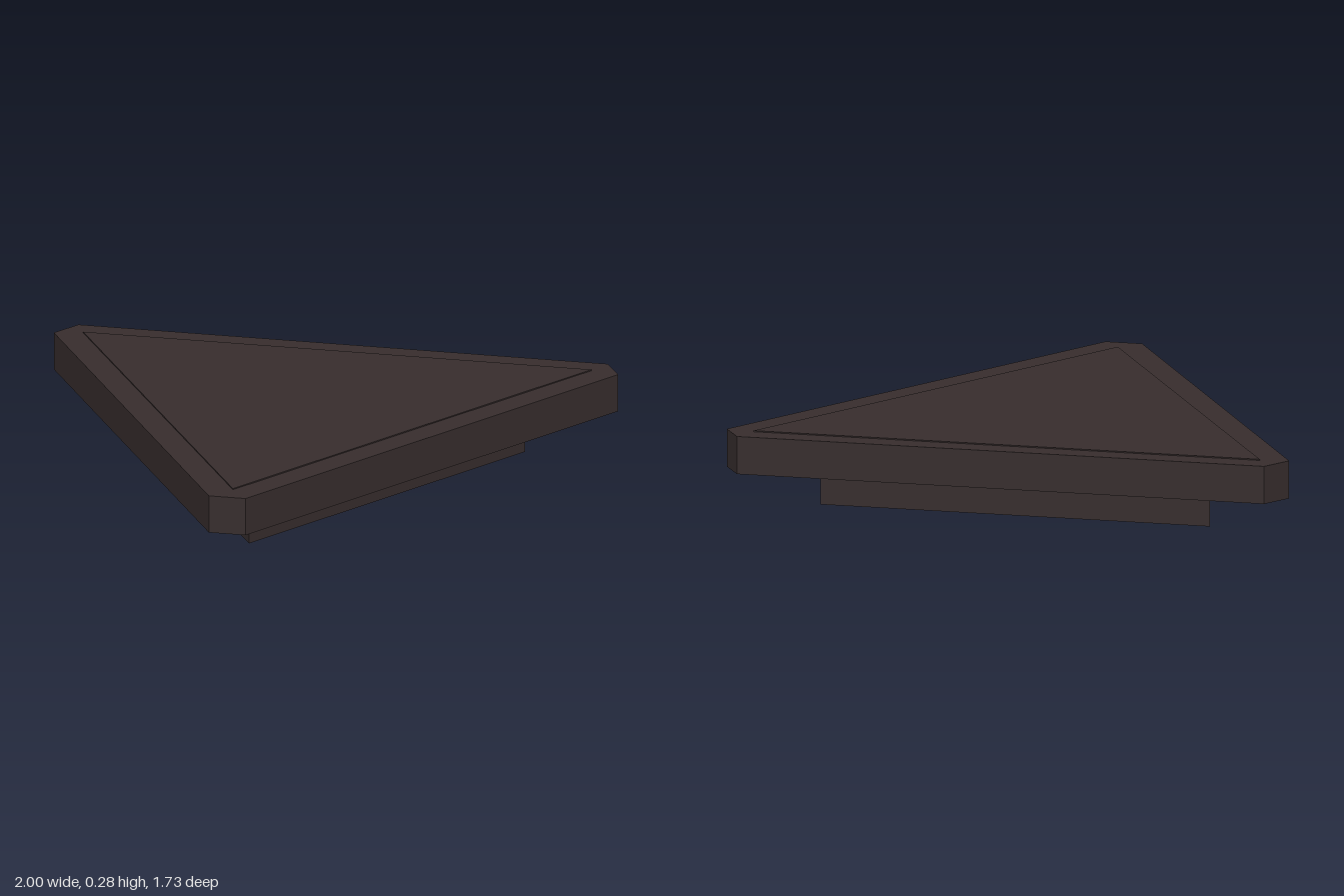
import * as THREE from 'three';

const CENTRE_Z = -0.26;

// Equilateral triangle pointing to the front, given its circumradius
function trianglePoints(radius) {
  return [0, 1, 2].map((i) => {
    const a = (i * Math.PI * 2) / 3;
    return new THREE.Vector2(Math.sin(a) * radius, -(CENTRE_Z + Math.cos(a) * radius));
  });
}

// Upright prism from a plan outline (shape y is -z)
function prism(name, shape, bottom, top, material) {
  const geometry = new THREE.ExtrudeGeometry(shape, { depth: top - bottom, bevelEnabled: false });
  geometry.rotateX(-Math.PI / 2);
  geometry.translate(0, bottom, 0);
  const mesh = new THREE.Mesh(geometry, material);
  mesh.name = name;
  return mesh;
}

export function createModel() {
  const group = new THREE.Group();
  group.name = 'triangularPlate';
  const darkBrown = new THREE.MeshStandardMaterial({ color: 0x372d2d });
  darkBrown.name = 'darkBrown';

  // Slab with three clipped corners
  const slab = new THREE.Shape([
    [-0.065, 0.865], [0.065, 0.865], [1, -0.76],
    [0.937, -0.865], [-0.937, -0.865], [-1, -0.76],
  ].map(([x, z]) => new THREE.Vector2(x, -z)));
  group.add(prism('slab', slab, 0.139, 0.272, darkBrown));

  // Barely raised panel on top
  group.add(prism('topPanel', new THREE.Shape(trianglePoints(1.04)), 0.272, 0.276, darkBrown));

  // Hollow triangular foot underneath
  const foot = new THREE.Shape(trianglePoints(0.8));
  foot.holes.push(new THREE.Path(trianglePoints(0.625)));
  group.add(prism('footRing', foot, 0, 0.139, darkBrown));

  return group;
}
